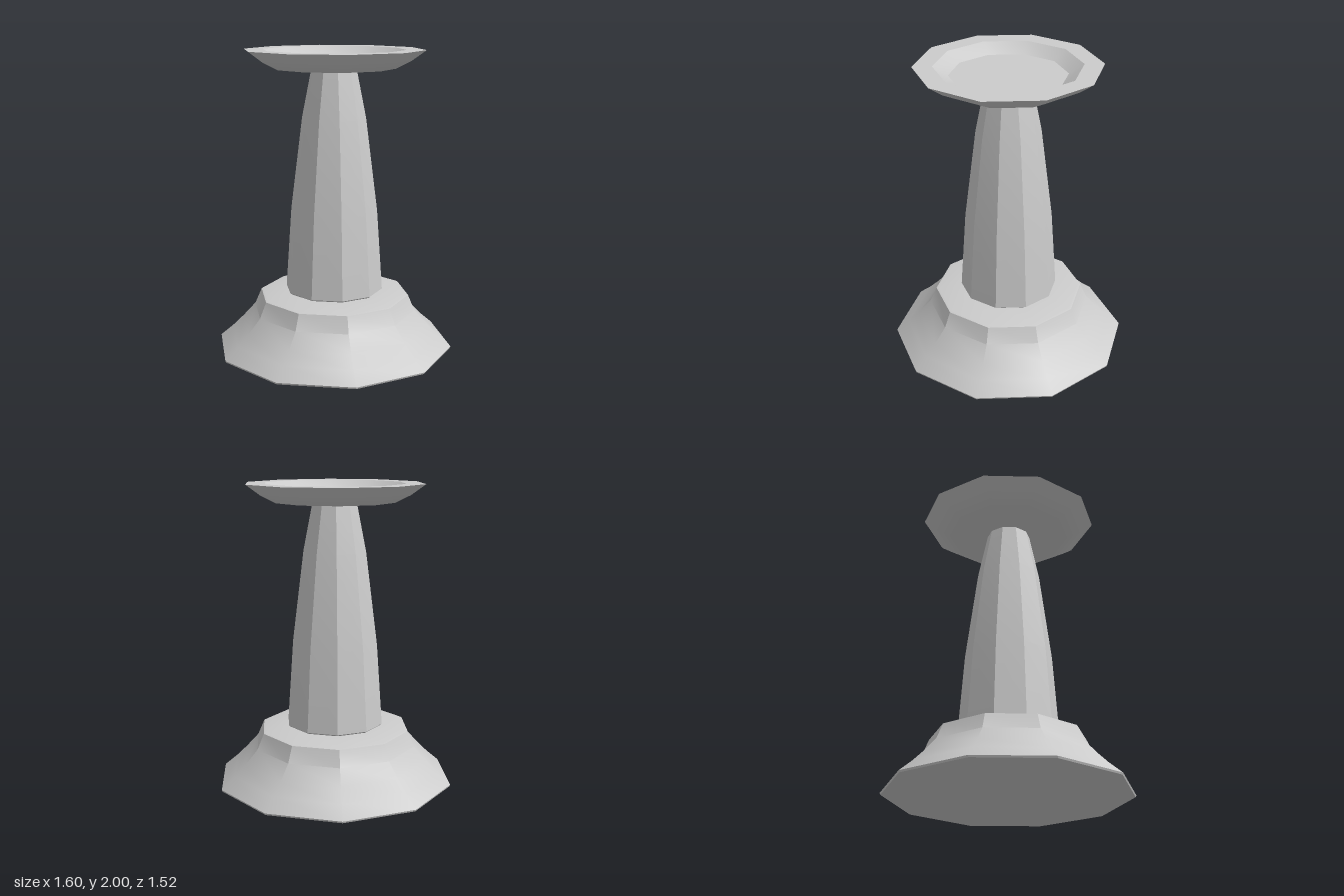
import * as THREE from 'three';
import { toCreasedNormals } from 'three/addons/utils/BufferGeometryUtils.js';

const SIDES = 10;
const material = new THREE.MeshStandardMaterial({ color: 0xcccccc });

// Ten-sided turned part from [radius, height] pairs, listed bottom to top, with a corner on +x
function turned(name, profile) {
  const points = profile.map(([r, y]) => new THREE.Vector2(r, y));
  const lathe = new THREE.LatheGeometry(points, SIDES, Math.PI / 2);
  const mesh = new THREE.Mesh(toCreasedNormals(lathe, Math.PI / 6), material);
  mesh.name = name;
  return mesh;
}

export function createModel() {
  const group = new THREE.Group();
  group.name = 'pedestal';

  // Flared foot with a closed underside and a gently sloped top
  group.add(turned('base', [
    [0, 0], [0.795, 0], [0.8, 0.012], [0.71, 0.09], [0.635, 0.165],
    [0.55, 0.26], [0.505, 0.365], [0.49, 0.369], [0.27, 0.382], [0, 0.382],
  ]));

  // Tapering column, undercut where it meets the base
  group.add(turned('column', [
    [0.27, 0.38], [0.315, 0.392], [0.328, 0.402], [0.29, 0.945],
    [0.212, 1.56], [0.148, 1.88],
  ]));

  // Shallow dish with a flat rim and a sunken floor
  group.add(turned('dish', [
    [0, 1.88], [0.4, 1.88], [0.5, 1.93], [0.597, 2],
    [0.47, 2], [0.375, 1.94], [0, 1.94],
  ]));

  return group;
}
